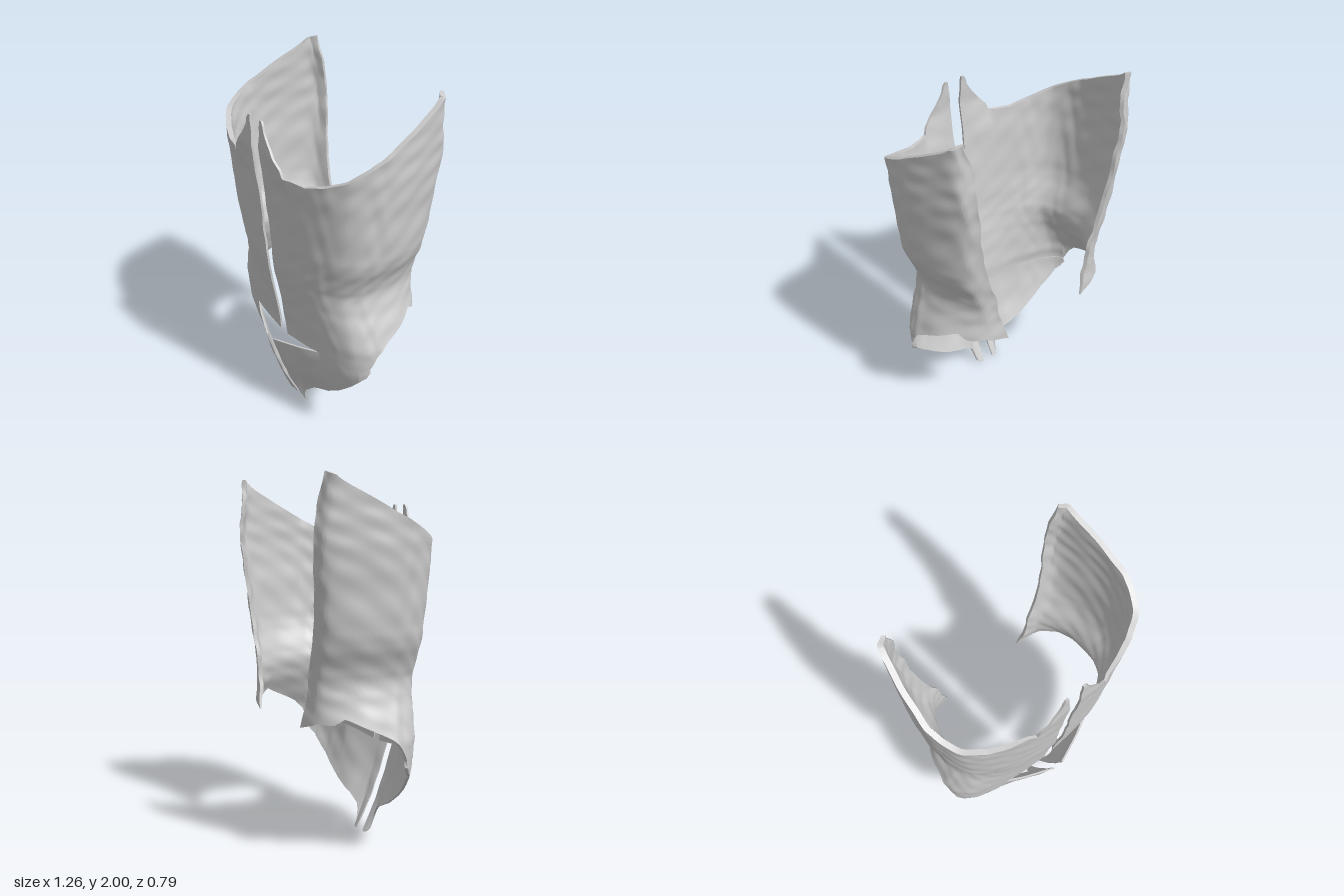
import * as THREE from 'three';
import { toCreasedNormals } from 'three/addons/utils/BufferGeometryUtils.js';

const { lerp, smoothstep, clamp } = THREE.MathUtils;

// Linear lookup in a short table of [key, value] pairs
function look(table, k) {
  if (k <= table[0][0]) return table[0][1];
  for (let i = 1; i < table.length; i++) {
    const [k0, v0] = table[i - 1], [k1, v1] = table[i];
    if (k <= k1) return lerp(v0, v1, (k - k0) / (k1 - k0));
  }
  return table[table.length - 1][1];
}

// Height profiles: half width, front depth, and position of the rear edge
const halfWidth = [[0.5, 0.6], [0.58, 0.607], [0.65, 0.605], [0.75, 0.572], [0.85, 0.53], [0.92, 0.51],
  [0.97, 0.508], [1.03, 0.525], [1.12, 0.567], [1.2, 0.592], [1.4, 0.608], [1.6, 0.622], [1.8, 0.628], [2, 0.62]];
const frontZ = [[0.5, 0.245], [0.6, 0.255], [0.8, 0.285], [1, 0.325], [1.2, 0.34], [1.4, 0.358],
  [1.6, 0.38], [1.7, 0.395], [1.86, 0.39]];
const rearX = [[0.7, 0.27], [0.8, 0.3], [1, 0.34], [1.3, 0.43], [1.65, 0.475], [1.85, 0.49], [2, 0.53]];
const rearZ = [[0.7, -0.37], [0.85, -0.352], [1, -0.352], [1.3, -0.362], [1.7, -0.392], [2, -0.355]];

// Top and bottom outlines along u (0 = centre front, 9 = rear edge)
const topEdge = [[0, 1.86], [0.1, 1.86], [0.37, 1.77], [0.7, 1.69], [0.92, 1.65], [1, 1.61], [2, 1.605],
  [3, 1.64], [4, 1.685], [5, 1.74], [6, 1.805], [7, 1.89], [8, 1.98], [9, 2]];
const lowEdge = [[5, 0.55], [5.5, 0.62], [6, 0.67], [7, 0.75], [7.4, 0.785], [7.7, 0.75], [8.2, 0.755], [8.6, 0.73], [9, 0.71]];
// Lower panel hem along x
const hemY = [[0.025, 0.015], [0.045, 0], [0.075, 0.012], [0.1, 0.12], [0.17, 0.18], [0.3, 0.24],
  [0.4, 0.31], [0.5, 0.4], [0.58, 0.49], [0.595, 0.55]];
const hemZ = [[0.03, 0.14], [0.06, 0.14], [0.1, 0.18], [0.2, 0.155], [0.45, 0.15], [0.55, 0.125], [0.595, 0.085]];

// Horizontal cross-section at height y, sampled at u
function section(y, u) {
  const w = look(halfWidth, y), f = look(frontZ, y), bx = look(rearX, y), bz = look(rearZ, y);
  const knots = [[0.032, f], [0.35 * w, 0.955 * f], [0.56 * w, 0.88 * f], [0.75 * w, 0.76 * f],
    [0.895 * w, 0.59 * f], [0.975 * w, 0.34 * f], [w, 0], [0.97 * w, -0.16],
    [0.53 * w + 0.47 * bx, 0.88 * bz], [bx, bz]];
  const curve = new THREE.CatmullRomCurve3(knots.map(([x, z]) => new THREE.Vector3(x, y, z)), false, 'catmullrom', 0.5);
  return curve.getPoint(clamp(u / 9, 0, 1));
}

const seamY = (x) => Math.min(0.52 + 0.1 * x, 0.55);

// Faint cloth creases
const crease = (u, y) =>
  0.0025 * Math.sin(13 * y + 1.7 * u + 2 * Math.sin(2.3 * u)) * Math.sin(1.9 * u + 5 * y) +
  0.0025 * Math.sin(47 * y - 2.3 * u + 2 * Math.sin(7 * y)) * Math.sin(2.7 * u - 4 * y);

// Main shell: wraps from the front opening around the side to the rear edge
function bodyPoint(u, t) {
  const low = u < 5 ? seamY(section(0.53, u).x) : look(lowEdge, u);
  const y = lerp(low, look(topEdge, u), t);
  const p = section(y, u);
  const c = 1 + crease(u, y) * 2 * smoothstep(y, 0.55, 0.65);
  p.z *= c;
  if (u >= 0.2) p.x *= c;
  else p.x += 0.004 * Math.sin(17 * y) + 0.012 * smoothstep(y, 1.6, 1.86);
  // the front flap stands slightly proud of the chest
  p.z += 0.015 * Math.min(u, 1) * smoothstep(y, 1.5, 1.65) * (1 - smoothstep(u, 1, 1.3));
  // ragged rear edge
  p.x += 0.005 * Math.sin(23 * y + Math.sin(13 * y)) * smoothstep(u, 8.4, 9);
  return p;
}
const bodyThickness = (u, t) =>
  lerp(0.012, 0.03, smoothstep(u, 0.3, 3)) * lerp(1, 0.7, smoothstep(u, 8, 9)) * lerp(0.5, 1, smoothstep(t, 0, 0.08));

// Lower panel: stands proud at the slit and tapers to a point
function lowerPoint(u, t) {
  const top = section(0.53, u);
  const x = top.x, seam = seamY(x);
  const zTop = top.z + 0.097 * Math.pow(Math.max(0, 1 - u / 1.85), 1.2);
  const y = lerp(Math.min(look(hemY, x), seam), seam, t);
  const bulge = (0.018 * (1 - u / 5) + crease(u, y)) * Math.sin(Math.PI * t);
  return new THREE.Vector3(x, y, lerp(look(hemZ, x), zTop, t) + bulge);
}
const lowerThickness = (u) => lerp(0.01, 0.018, u / 5);

// Thick cloth from a point rule: outer skin, inner skin and rim, mirrored by side
function sheet(name, rule, thickness, uMax, cols, rows, side, material) {
  const outer = [], index = [], row = rows + 1, count = (cols + 1) * row;
  const quad = (a, b, c, d) => index.push(...(side > 0 ? [a, b, c, a, c, d] : [a, c, b, a, d, c]));
  for (let i = 0; i <= cols; i++)
    for (let j = 0; j <= rows; j++) {
      const p = rule((i / cols) * uMax, j / rows);
      outer.push(side * p.x, p.y, p.z);
    }
  for (let i = 0; i < cols; i++)
    for (let j = 0; j < rows; j++) {
      const a = i * row + j;
      quad(a, a + row, a + row + 1, a + 1);
    }
  const skin = new THREE.BufferGeometry();
  skin.setAttribute('position', new THREE.Float32BufferAttribute(outer, 3));
  skin.setIndex([...index]);
  skin.computeVertexNormals();

  // inner skin, offset along the normals (horizontally, so that outlines stay level)
  const n = skin.attributes.normal, pos = [...outer];
  for (let k = 0; k < count; k++) {
    const d = thickness((Math.floor(k / row) / cols) * uMax, (k % row) / rows);
    pos.push(outer[3 * k] - d * n.getX(k), outer[3 * k + 1], outer[3 * k + 2] - d * n.getZ(k));
  }
  for (let i = 0; i < cols; i++)
    for (let j = 0; j < rows; j++) {
      const a = count + i * row + j;
      quad(a, a + 1, a + row + 1, a + row);
    }

  // rim along all four borders
  for (let i = 0; i < cols; i++) {
    const a = i * row, b = a + rows;
    quad(a, a + count, a + row + count, a + row);
    quad(b, b + row, b + row + count, b + count);
  }
  for (let j = 0; j < rows; j++) {
    const e = cols * row + j;
    quad(j, j + 1, j + 1 + count, j + count);
    quad(e, e + count, e + 1 + count, e + 1);
  }
  const geo = new THREE.BufferGeometry();
  geo.setAttribute('position', new THREE.Float32BufferAttribute(pos, 3));
  geo.setIndex(index);
  const mesh = new THREE.Mesh(toCreasedNormals(geo, 0.8), material);
  mesh.name = name;
  return mesh;
}

export function createModel() {
  const group = new THREE.Group();
  group.name = 'vest';
  const cloth = new THREE.MeshStandardMaterial({ color: 0xcccccc, side: THREE.DoubleSide });
  for (const [label, side] of [['left', 1], ['right', -1]]) {
    const half = new THREE.Group();
    half.name = label + 'Half';
    half.add(sheet(label + 'BodyPanel', bodyPoint, bodyThickness, 9, 108, 64, side, cloth));
    half.add(sheet(label + 'LowerPanel', lowerPoint, lowerThickness, 5, 60, 24, side, cloth));
    group.add(half);
  }
  return group;
}
